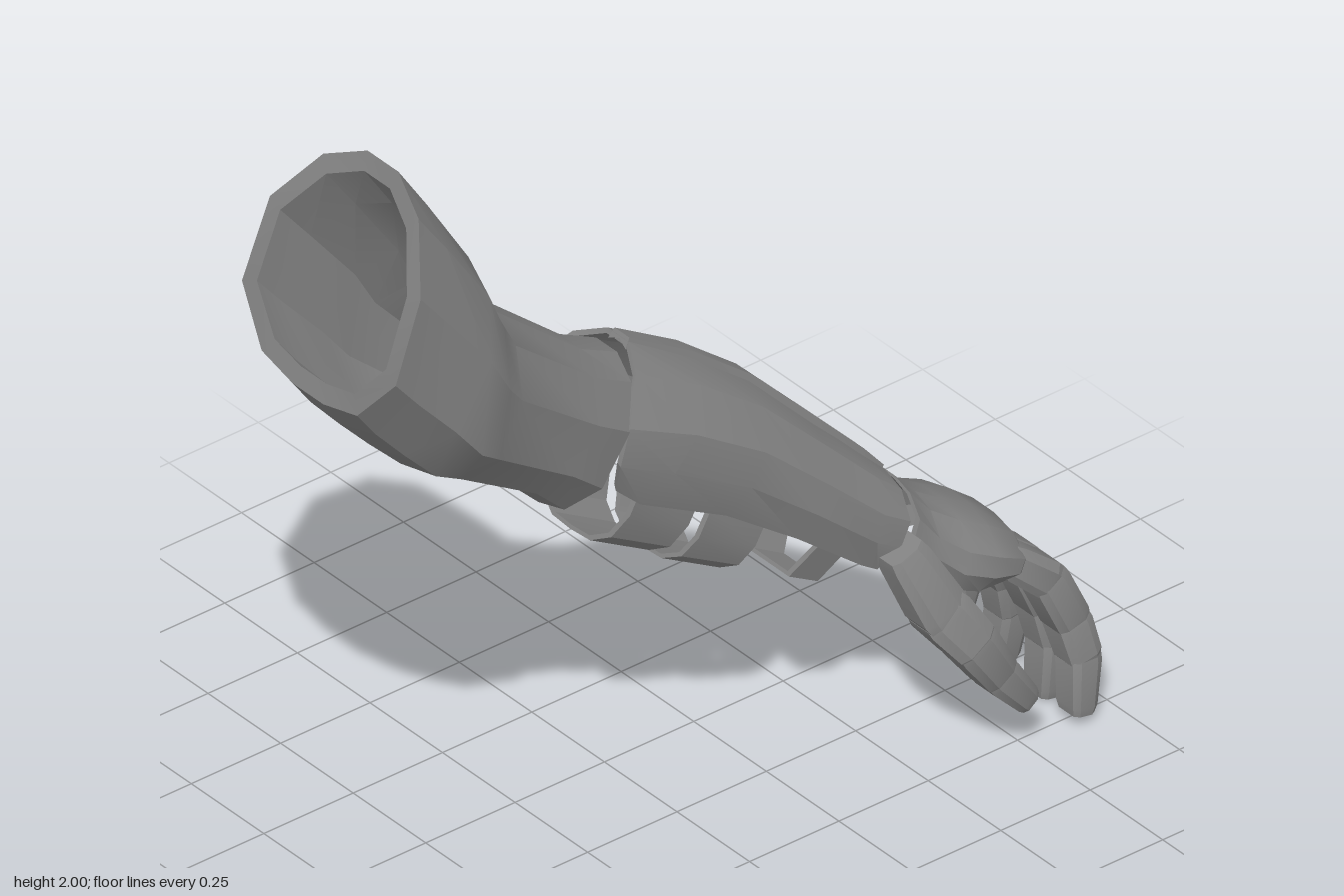
import * as THREE from 'three';
import { toCreasedNormals } from 'three/addons/utils/BufferGeometryUtils.js';

const material = new THREE.MeshStandardMaterial({ color: 0x828282, side: THREE.DoubleSide });

// Cross-section profiles: [u, v] with u across the width (-1..1) and v from bottom (0) to top (1)
const sleeveProfile = [[0.2, 1], [0.62, 0.9], [0.98, 0.65], [1, 0.28], [0.62, 0.05], [0.2, 0],
  [-0.2, 0], [-0.62, 0.05], [-1, 0.28], [-0.98, 0.65], [-0.62, 0.9], [-0.2, 1], [0.2, 1]];
const archProfile = [[-0.8, 0], [-0.98, 0.3], [-0.95, 0.6], [-0.6, 0.89], [-0.2, 1],
  [0.2, 1], [0.6, 0.89], [0.95, 0.6], [0.98, 0.3], [0.8, 0]];
const strapProfile = [[1, 1], [1, 0.55], [0.82, 0.2], [0.45, 0.02], [0, 0],
  [-0.45, 0.02], [-0.82, 0.2], [-1, 0.55], [-1, 1]];
const bracketProfile = [[1, 1], [0.6, 0], [-0.6, 0], [-1, 1]];
const ribProfile = [[-1, 0], [-0.85, 1], [0.85, 1], [1, 0]];
const chamferProfile = [[0, 1], [0.7, 1], [1, 0.75], [1, 0.2], [0.75, 0],
  [-0.75, 0], [-1, 0.2], [-1, 0.75], [-0.7, 1], [0, 1]];

// Skins a walled shell over sections [topX, topY, bottomX, bottomY, zMin, zMax, bow];
// bow pushes the middle of a section back, inner is the size of the hollow relative to the outside
function shell(name, sections, profile, inner, crease = 0.45) {
  const n = profile.length;
  const rings = sections.map(([tx, ty, bx, by, z0, z1, bow = 0]) => {
    const at = (k) => ([u, v]) => {
      const t = 0.5 + (v - 0.5) * k;
      const back = bow * (1 - (2 * v - 1) ** 2);
      return [bx + (tx - bx) * t - back, by + (ty - by) * t, (z0 + z1) / 2 + (u * k * (z1 - z0)) / 2];
    };
    return [...profile.map(at(1)), ...profile.map(at(inner)).reverse()];
  });
  const pos = [];
  const quad = (a, b, c, d) => pos.push(...a, ...b, ...c, ...a, ...c, ...d);
  for (let i = 0; i < rings.length - 1; i++) {
    for (let j = 0; j < 2 * n; j++) {
      const k = (j + 1) % (2 * n);
      quad(rings[i][j], rings[i][k], rings[i + 1][k], rings[i + 1][j]);
    }
  }
  const first = rings[0], last = rings[rings.length - 1];
  for (let j = 0; j < n - 1; j++) {
    const p = 2 * n - 1 - j;
    quad(first[j], first[p], first[p - 1], first[j + 1]);
    quad(last[j], last[j + 1], last[p - 1], last[p]);
  }
  const geometry = new THREE.BufferGeometry();
  geometry.setAttribute('position', new THREE.Float32BufferAttribute(pos, 3));
  const mesh = new THREE.Mesh(toCreasedNormals(geometry, crease), material);
  mesh.name = name;
  return mesh;
}

// Jointed digit: one tapered segment between each pair of points [x, y, z, depth, width]
function digit(name, path) {
  const group = new THREE.Group();
  group.name = name;
  for (let i = 0; i < path.length - 1; i++) {
    const a = path[i], b = path[i + 1];
    const dx = b[0] - a[0], dy = b[1] - a[1], len = Math.hypot(dx, dy);
    const section = (t, swell) => {
      const [x, y, z, h, w] = a.map((s, k) => s + (b[k] - s) * t);
      const nx = (-dy / len) * h * swell / 2, ny = (dx / len) * h * swell / 2;
      return [x + nx, y + ny, x - nx, y - ny, z - w * swell / 2, z + w * swell / 2];
    };
    group.add(shell(name + 'Segment' + (i + 1),
      [section(-0.1, 0.92), section(0.06, 1), section(0.92, 1), section(1.08, 0.88)],
      chamferProfile, 0.02, 0.3));
  }
  return group;
}

export function createModel() {
  const model = new THREE.Group();
  model.name = 'armouredArm';

  // Upper arm sleeve, bent at the elbow and open at both ends
  model.add(shell('upperArmSleeve', [
    [-0.77, 2.0, -0.98, 1.48, -0.33, 0.2, 0.035],
    [-0.69, 1.88, -0.93, 1.41, -0.325, 0.195, 0.02],
    [-0.58, 1.70, -0.86, 1.33, -0.31, 0.2],
    [-0.545, 1.6, -0.77, 1.24, -0.31, 0.2],
    [-0.49, 1.51, -0.67, 1.175, -0.29, 0.155],
    [-0.25, 1.31, -0.45, 1.04, -0.25, 0.13],
    [-0.14, 1.25, -0.36, 0.95, -0.25, 0.11],
  ], sleeveProfile, 0.84));

  // Forearm guard, open underneath
  model.add(shell('forearmGuard', [
    [-0.11, 1.265, -0.235, 0.985, -0.25, 0.115, 0.06],
    [0.05, 1.165, -0.18, 0.935, -0.255, 0.135],
    [0.2, 1.05, 0.05, 0.815, -0.22, 0.145],
    [0.35, 0.895, 0.23, 0.69, -0.17, 0.165],
    [0.47, 0.77, 0.39, 0.565, -0.12, 0.185],
    [0.525, 0.715, 0.43, 0.54, -0.11, 0.19, -0.02],
  ], archProfile, 0.92));

  // Raised rib along the top of the guard
  model.add(shell('forearmRib', [
    [-0.105, 1.272, -0.12, 1.25, -0.09, -0.03],
    [0.06, 1.175, 0.04, 1.15, -0.08, -0.015],
    [0.21, 1.06, 0.19, 1.035, -0.06, 0.005],
    [0.36, 0.905, 0.34, 0.885, -0.03, 0.04],
    [0.48, 0.78, 0.46, 0.76, -0.005, 0.06],
    [0.53, 0.72, 0.51, 0.7, 0.0, 0.065],
  ], ribProfile, 0.02));

  // Straps hanging under the forearm
  model.add(shell('elbowStrap',
    [[-0.16, 0.98, -0.25, 0.82, -0.205, 0.085], [0.0, 0.89, -0.09, 0.73, -0.195, 0.09]], strapProfile, 0.9));
  model.add(shell('middleStrap',
    [[0.02, 0.84, -0.06, 0.7, -0.185, 0.095], [0.17, 0.76, 0.09, 0.62, -0.155, 0.105]], strapProfile, 0.9));
  model.add(shell('wristStrap',
    [[0.31, 0.655, 0.245, 0.56, -0.1, 0.13], [0.385, 0.615, 0.32, 0.52, -0.085, 0.135]], bracketProfile, 0.85));

  // Plate over the back of the hand
  model.add(shell('handPlate', [
    [0.55, 0.69, 0.495, 0.575, -0.11, 0.195],
    [0.6, 0.632, 0.54, 0.5, -0.105, 0.205],
    [0.66, 0.597, 0.595, 0.44, -0.115, 0.24],
    [0.73, 0.56, 0.665, 0.415, -0.125, 0.26],
    [0.81, 0.495, 0.745, 0.4, -0.128, 0.245],
    [0.835, 0.445, 0.785, 0.395, -0.122, 0.215],
  ], archProfile, 0.9));

  // Four curled fingers: base z, tip z, length, width
  const curl = [[0.77, 0.44, 0.08], [0.865, 0.36, 0.09], [0.917, 0.235, 0.09], [0.935, 0.14, 0.085], [0.912, 0.02, 0.07]];
  const fingers = {
    indexFinger: [0.182, 0.262, 0.96, 0.098], middleFinger: [0.1, 0.143, 1, 0.102],
    ringFinger: [0.008, -0.01, 0.98, 0.1], littleFinger: [-0.082, -0.115, 0.78, 0.078],
  };
  for (const [name, [z0, z1, size, width]] of Object.entries(fingers)) {
    model.add(digit(name, curl.map(([x, y, depth], i) => [
      0.77 + (x - 0.77) * size, 0.44 + (y - 0.44) * size, z0 + (z1 - z0) * i / 4,
      depth * Math.min(1, size + 0.05), width * (1 - 0.05 * i)])));
  }

  // Thumb on the front side
  model.add(digit('thumb', [
    [0.475, 0.58, 0.19, 0.1, 0.09], [0.53, 0.44, 0.25, 0.125, 0.1], [0.59, 0.35, 0.28, 0.11, 0.105],
    [0.66, 0.24, 0.285, 0.09, 0.09], [0.735, 0.145, 0.285, 0.065, 0.075]]));

  return model;
}
